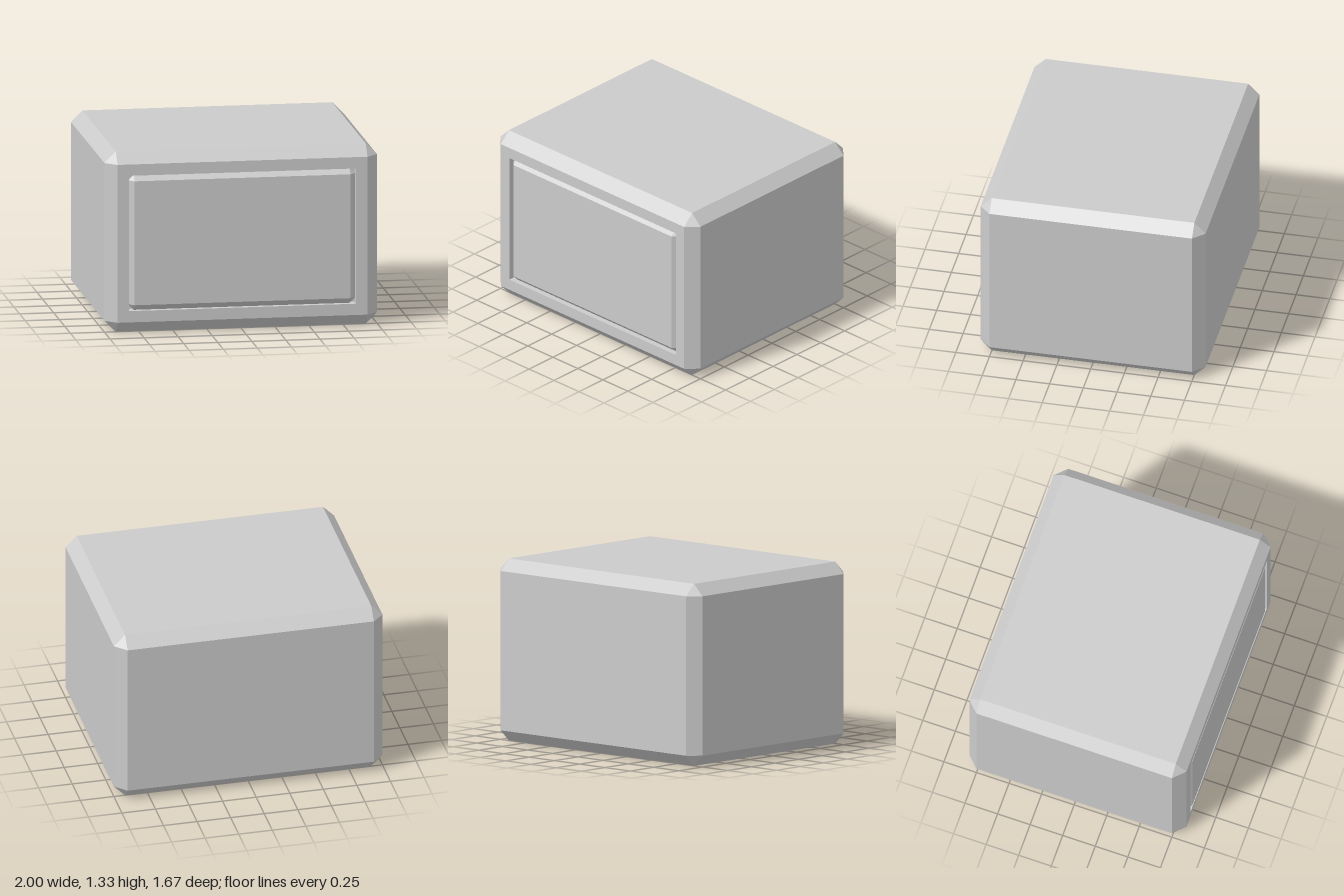
import * as THREE from 'three';

const W = 2, H = 1.333, D = 1.667, BEVEL = 0.083; // body
const PW = 1.667, PH = 1, PD = 0.084, PANEL_BEVEL = 0.042; // front panel
const material = new THREE.MeshStandardMaterial({ color: 0xcccccc, flatShading: true });

// Box centred on the origin with every edge and corner chamfered.
function chamferedBox(w, h, d, c, openFront = false) {
  const half = [w / 2, h / 2, d / 2];
  const positions = [];
  // Corner point lying on the flat side of the given axis.
  const point = (signs, axis) =>
    new THREE.Vector3(...signs.map((s, i) => s * (half[i] - (i === axis ? 0 : c))));
  // Adds a convex polygon, turned so that it faces away from the centre.
  const addFace = (pts) => {
    const normal = new THREE.Vector3().subVectors(pts[1], pts[0])
      .cross(new THREE.Vector3().subVectors(pts[2], pts[0]));
    if (normal.dot(pts[0]) < 0) pts.reverse();
    for (let i = 1; i < pts.length - 1; i++)
      for (const p of [pts[0], pts[i], pts[i + 1]]) positions.push(p.x, p.y, p.z);
  };
  const signsOf = (a, sa, b, sb, k, sk) => {
    const s = [0, 0, 0];
    s[a] = sa; s[b] = sb; s[k] = sk;
    return s;
  };
  for (let a = 0; a < 3; a++) {
    const b = (a + 1) % 3, k = (a + 2) % 3;
    for (const sa of [-1, 1]) {
      // flat side
      if (!(openFront && a === 2 && sa === 1))
        addFace([[-1, -1], [1, -1], [1, 1], [-1, 1]]
          .map(([sb, sk]) => point(signsOf(a, sa, b, sb, k, sk), a)));
      // chamfers between the sides of axes a and b
      for (const sb of [-1, 1]) {
        const lo = signsOf(a, sa, b, sb, k, -1), hi = signsOf(a, sa, b, sb, k, 1);
        addFace([point(lo, a), point(hi, a), point(hi, b), point(lo, b)]);
      }
    }
  }
  // corner triangles
  for (const x of [-1, 1]) for (const y of [-1, 1]) for (const z of [-1, 1])
    addFace([0, 1, 2].map((axis) => point([x, y, z], axis)));

  const geometry = new THREE.BufferGeometry();
  geometry.setAttribute('position', new THREE.Float32BufferAttribute(positions, 3));
  geometry.computeVertexNormals();
  return geometry;
}

function rectangle(path, w, h) {
  return path.moveTo(-w / 2, -h / 2).lineTo(w / 2, -h / 2)
    .lineTo(w / 2, h / 2).lineTo(-w / 2, h / 2).closePath();
}

export function createModel() {
  const model = new THREE.Group();
  model.name = 'chamferedCabinet';
  const add = (name, geometry, z = 0, mat = material) => {
    const mesh = new THREE.Mesh(geometry, mat);
    mesh.name = name;
    mesh.position.set(0, H / 2, z);
    model.add(mesh);
  };

  // Body shell, left open where the front frame goes
  add('body', chamferedBox(W, H, D, BEVEL, true));

  // Flat frame around the recess
  const frame = rectangle(new THREE.Shape(), W - 2 * BEVEL, H - 2 * BEVEL);
  frame.holes.push(rectangle(new THREE.Path(), PW, PH));
  add('frontFrame', new THREE.ShapeGeometry(frame), D / 2);

  // Recess: walls and floor of an inward-facing box without its front side
  const recess = new THREE.BoxGeometry(PW, PH, PD);
  const index = [...recess.index.array];
  index.splice(24, 6);
  recess.setIndex(index);
  recess.clearGroups();
  const inside = material.clone();
  inside.side = THREE.BackSide;
  add('recess', recess, D / 2 - PD / 2, inside);

  // Chamfered panel set flush with the frame
  add('frontPanel', chamferedBox(PW, PH, PD, PANEL_BEVEL), D / 2 - PD / 2);

  return model;
}
